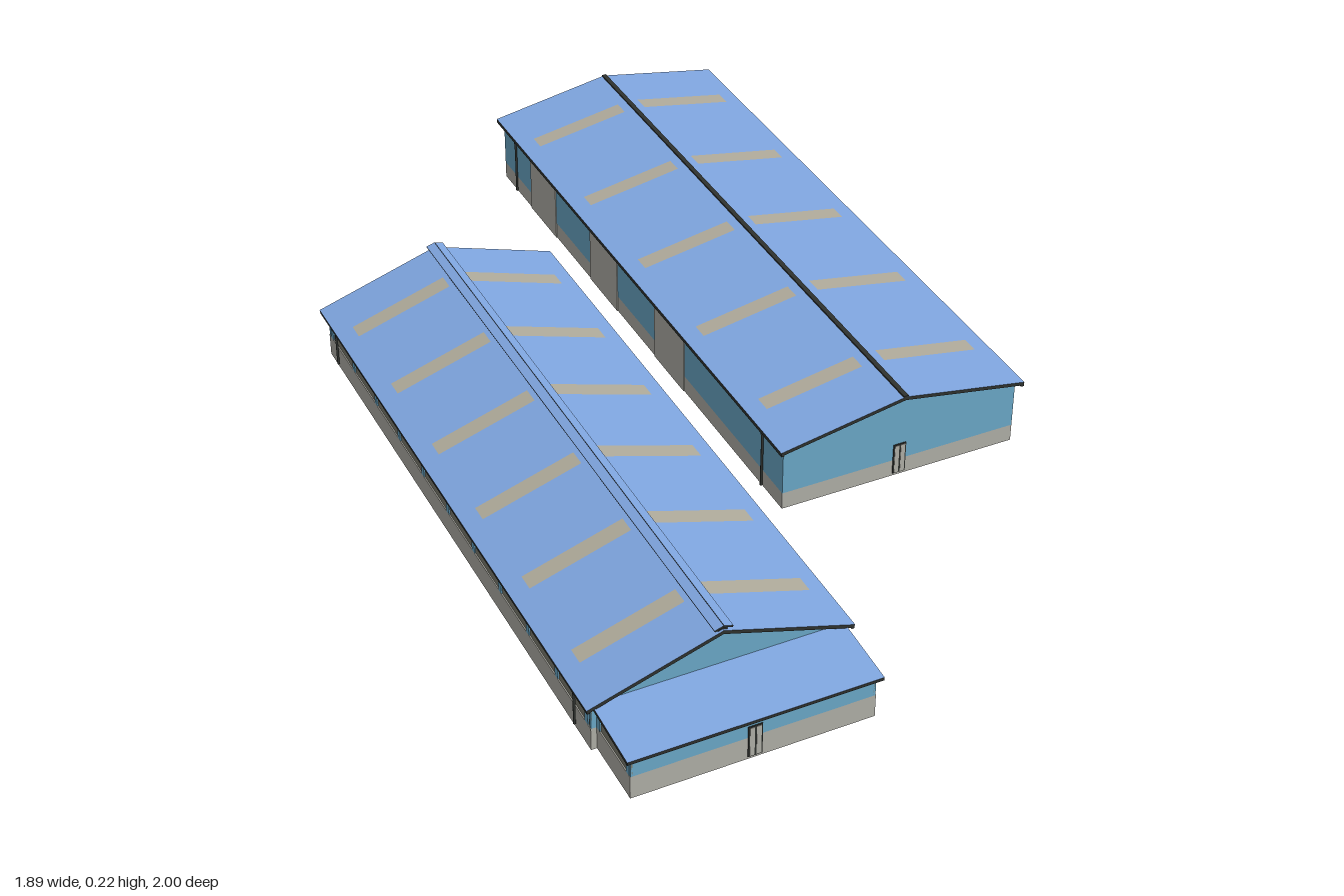
import * as THREE from 'three';

const mat = (name, color, side = THREE.FrontSide) => {
  const m = new THREE.MeshStandardMaterial({ color, side });
  m.name = name;
  return m;
};

export function createModel() {
  const M = {
    roof: mat('roofBlue', 0x80a7e1),
    wall: mat('wallBlue', 0x6ba9c9),
    concrete: mat('concrete', 0xb1b0a8),
    trim: mat('darkTrim', 0x2f322f),
    under: mat('roofUnderside', 0xa2a29b),
    sky: mat('skylightTan', 0xb0ab9b),
    curtain: mat('curtainGrey', 0x7c7d71),
  };
  const T = 0.008; // roof and wall thickness

  const add = (parent, name, geo, material, x, y, z) => {
    const m = new THREE.Mesh(geo, material);
    m.name = name;
    m.position.set(x, y, z);
    parent.add(m);
    return m;
  };
  const box = (parent, name, material, sx, sy, sz, x, y, z) =>
    add(parent, name, new THREE.BoxGeometry(sx, sy, sz), material, x, y, z);
  // box between two heights
  const wall = (parent, name, material, sx, sz, y0, y1, x, z) =>
    box(parent, name, material, sx, y1 - y0, sz, x, (y0 + y1) / 2, z);
  const roofSides = [M.trim, M.trim, M.roof, M.under, M.trim, M.trim];

  // Two sloping roof slabs with rows of flush skylight strips
  function gableRoof(g, L, W, eave, ridge, lights) {
    const a = Math.atan2(ridge - eave, W), len = Math.hypot(W, ridge - eave);
    for (const s of [1, -1]) {
      const slope = new THREE.Group();
      slope.name = s > 0 ? 'frontRoofSlope' : 'backRoofSlope';
      slope.position.y = ridge;
      slope.rotation.x = s * a;
      g.add(slope);
      box(slope, 'roofSlab', roofSides, 2 * L, T, len, 0, -T / 2, s * len / 2);
      for (let i = 0; i < lights; i++) {
        const strip = new THREE.PlaneGeometry(0.04, 0.228).rotateX(-Math.PI / 2);
        add(slope, 'skylight', strip, M.sky, -0.595 + (1.19 * i) / (lights - 1), 0.001, s * 0.141);
      }
    }
  }

  // End wall above the concrete base, rising to the ridge
  function gableEnd(g, x, W, y0, yEave, yRidge) {
    const shape = new THREE.Shape();
    shape.moveTo(-W, y0);
    shape.lineTo(W, y0);
    shape.lineTo(W, yEave);
    shape.lineTo(0, yRidge);
    shape.lineTo(-W, yEave);
    const geo = new THREE.ExtrudeGeometry(shape, { depth: T, bevelEnabled: false });
    geo.translate(0, 0, -T / 2);
    geo.rotateY(Math.PI / 2);
    add(g, 'gableWall', geo, M.wall, x, 0, 0);
  }

  // Gutter downpipe curving in from the eave to the wall
  function downpipe(g, x, s, zWall, zEave, yTop, y0) {
    const z = s * (zWall + 0.005);
    const path = new THREE.CatmullRomCurve3([
      new THREE.Vector3(x - 0.012, yTop, s * zEave),
      new THREE.Vector3(x - 0.003, yTop - 0.006, z),
      new THREE.Vector3(x, yTop - 0.02, z),
      new THREE.Vector3(x, y0, z),
    ]);
    add(g, 'downpipe', new THREE.TubeGeometry(path, 14, 0.003, 6), M.trim, 0, 0, 0);
  }

  // Narrow two-leaf door
  function smallDoor(g, x, y0) {
    wall(g, 'doorFrame', M.trim, 0.004, 0.03, y0 + 0.006, y0 + 0.08, x, 0);
    for (const s of [1, -1])
      wall(g, 'doorLeaf', M.concrete, 0.006, 0.01, y0 + 0.008, y0 + 0.077, x, s * 0.007);
  }

  function slidingEndDoor(g, x, y0, h) {
    wall(g, 'slidingDoor', M.wall, 0.007, 0.17, y0, y0 + h, x - T / 2, 0);
    wall(g, 'slidingRail', M.trim, 0.009, 0.3, y0 + h, y0 + h + 0.004, x - T / 2, 0.05);
  }

  // Tall closed shed at the back
  function backShed() {
    const g = new THREE.Group();
    g.name = 'backShed';
    const L = 0.755, W = 0.29, l = 0.74, w = 0.277, y0 = 0.01, yb = 0.05, eave = 0.168, ridge = 0.22;
    const top = eave + (ridge - eave) * (1 - w / W) - T;
    gableRoof(g, L, W, eave, ridge, 5);
    box(g, 'ridgeCap', M.trim, 2 * L, 0.005, 0.011, 0, ridge, 0);
    for (const s of [1, -1]) {
      wall(g, 'sideBase', M.concrete, 2 * l, T, y0, yb, 0, s * (w - T / 2));
      wall(g, 'sideWall', M.wall, 2 * l, T, yb, top, 0, s * (w - T / 2));
      wall(g, 'endBase', M.concrete, T, 2 * w - 2 * T, y0, yb, s * (l - T / 2), 0);
      gableEnd(g, s * (l - T / 2), w - 0.001, yb, top, ridge - T);
      box(g, 'gutter', M.trim, 2 * L, 0.008, 0.007, 0, eave - 0.006, s * (W - 0.004));
      for (const x of [-0.658, 0.655]) downpipe(g, x, s, w, W - 0.004, eave - 0.008, y0 + 0.005);
    }
    // sliding doors along the front
    for (const x of [-0.5, -0.15, 0.2])
      wall(g, 'sideDoor', M.concrete, 0.15, T + 0.004, y0, top - 0.008, x, w - T / 2);
    smallDoor(g, l, y0);
    slidingEndDoor(g, -l, y0, 0.115);
    return g;
  }

  // Lower shed with curtained bays and a lean-to annex
  function frontShed() {
    const g = new THREE.Group();
    g.name = 'frontShed';
    const L = 0.729, W = 0.281, l = 0.715, w = 0.267, yb = 0.053, eave = 0.114, ridge = 0.204;
    const top = eave + (ridge - eave) * (1 - w / W) - T;
    gableRoof(g, L, W, eave, ridge, 6);
    // raised ridge vent
    wall(g, 'ridgeVent', M.trim, 2 * L - 0.01, 0.02, ridge - 0.006, ridge + 0.003, 0, 0);
    for (const s of [1, -1]) {
      const cap = box(g, 'ridgeVentCap', roofSides, 2 * L, 0.004, 0.02, 0, ridge + 0.007, s * 0.0095);
      cap.rotation.x = s * 0.3;
      wall(g, 'sideBase', M.concrete, 2 * l, T, 0, yb, 0, s * (w - T / 2));
      wall(g, 'sideCurtain', M.curtain, 2 * l, 0.003, yb, top, 0, s * (w - T / 2));
      for (let i = -5; i <= 5; i++)
        wall(g, 'column', M.wall, 0.014, T, yb, top, i * 0.139, s * (w - T / 2));
      wall(g, 'endBase', M.concrete, T, 2 * w - 2 * T, 0, yb, s * (l - T / 2), 0);
      gableEnd(g, s * (l - T / 2), w - 0.001, yb, top, ridge - T);
      box(g, 'gutter', M.trim, 2 * L, 0.007, 0.006, 0, eave - 0.005, s * (W - 0.004));
      for (const x of [-0.65, 0.65]) downpipe(g, x, s, w, W - 0.004, eave - 0.008, 0.015);
    }
    slidingEndDoor(g, -l, 0, 0.1);

    // lean-to annex on the left end, curtained like the bays
    const x0 = l, x1 = 0.862, aw = 0.255, at = 0.096;
    for (const s of [1, -1]) {
      const z = s * (aw - T / 2);
      wall(g, 'annexSideBase', M.concrete, x1 - x0, T, 0, yb, (x0 + x1) / 2, z);
      wall(g, 'annexCurtain', M.curtain, x1 - x0, 0.003, yb, at, (x0 + x1) / 2, z);
      for (const x of [x0 + 0.007, x1 - 0.011]) wall(g, 'annexColumn', M.wall, 0.014, T, yb, at, x, z);
    }
    wall(g, 'annexEndBase', M.concrete, T, 2 * aw - 2 * T, 0, yb, x1 - T / 2, 0);
    wall(g, 'annexEndWall', M.wall, T, 2 * aw - 0.002, yb, at, x1 - T / 2, 0);
    const lean = box(g, 'annexRoof', roofSides, 0.16, T, 0.53, 0.793, 0.104, 0);
    lean.rotation.z = -0.07;
    smallDoor(g, x1, 0);
    return g;
  }

  const model = new THREE.Group();
  model.name = 'farmSheds';
  const back = backShed(), front = frontShed();
  back.position.set(-0.138, 0, -0.418);
  front.position.set(0.042, 0, 0.392);
  for (const shed of [back, front]) {
    shed.rotation.y = -THREE.MathUtils.degToRad(24.8);
    model.add(shed);
  }
  return model;
}
